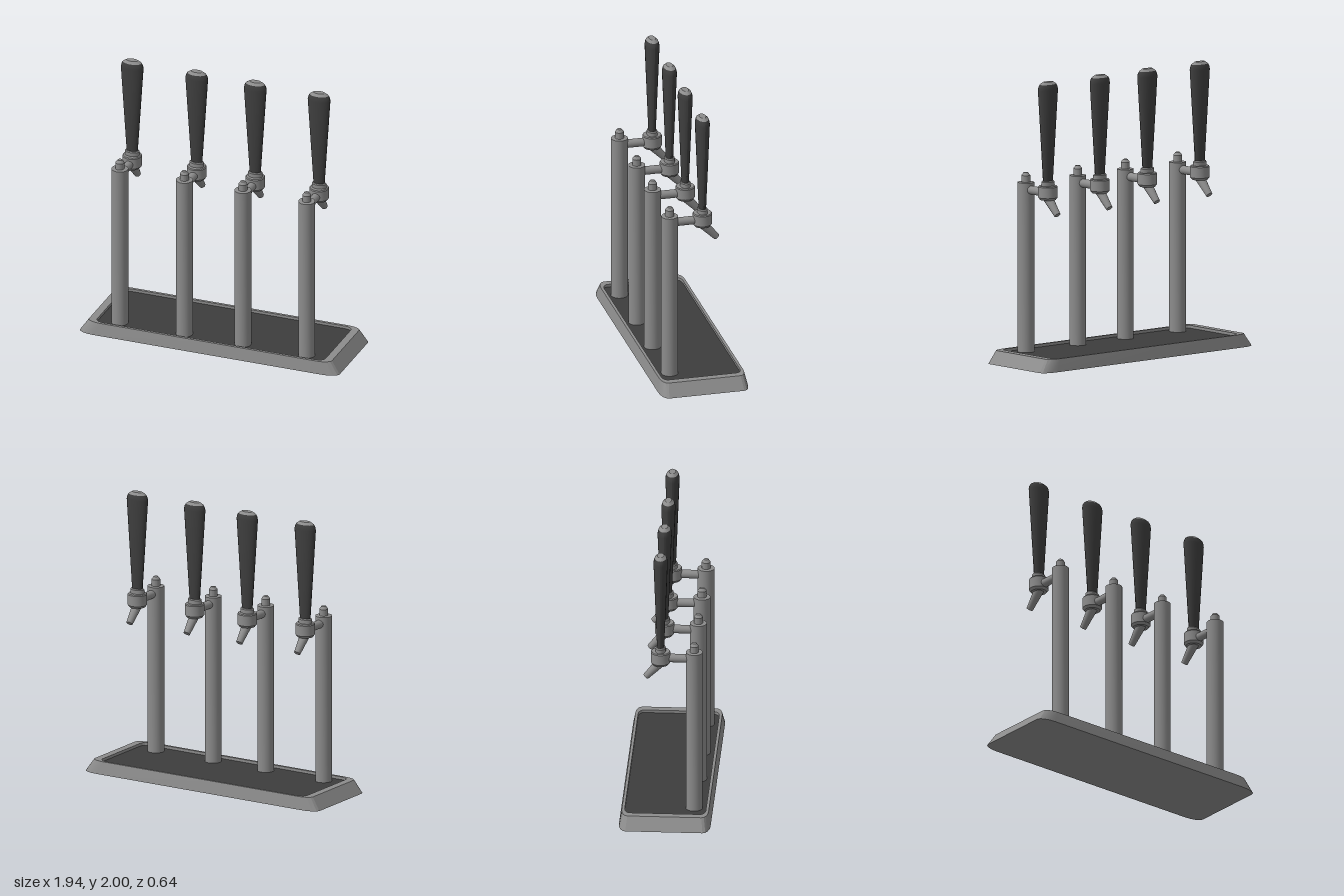
import * as THREE from 'three';
import { toCreasedNormals } from 'three/addons/utils/BufferGeometryUtils.js';

const grey = new THREE.MeshStandardMaterial({ color: 0x8c8c8c });
const dark = new THREE.MeshStandardMaterial({ color: 0x3d3d3d });

function mesh(name, geometry, material = grey) {
  const m = new THREE.Mesh(geometry, material);
  m.name = name;
  return m;
}

// Skin a stack of equal rings (counter-clockwise from above), optionally closing the ends
function loft(rings, capBottom, capTop, crease = 0.5) {
  const pos = [];
  const tri = (...pts) => pts.forEach((p) => pos.push(p.x, p.y, p.z));
  const n = rings[0].length;
  for (let i = 0; i + 1 < rings.length; i++) {
    for (let j = 0; j < n; j++) {
      const k = (j + 1) % n;
      const [a, b, c, d] = [rings[i][j], rings[i][k], rings[i + 1][k], rings[i + 1][j]];
      tri(a, b, c);
      tri(a, c, d);
    }
  }
  const cap = (ring, up) => {
    const centre = new THREE.Vector3(0, ring[0].y, 0);
    ring.forEach((p, j) => {
      const q = ring[(j + 1) % n];
      if (up) tri(centre, p, q);
      else tri(centre, q, p);
    });
  };
  if (capBottom) cap(rings[0], false);
  if (capTop) cap(rings[rings.length - 1], true);
  const g = new THREE.BufferGeometry();
  g.setAttribute('position', new THREE.Float32BufferAttribute(pos, 3));
  return toCreasedNormals(g, crease);
}

// Rectangle with elliptical corners
function rectRing(hx, hz, y, rx, rz, seg = 4) {
  const pts = [];
  [[1, 1], [-1, 1], [-1, -1], [1, -1]].forEach(([sx, sz], q) => {
    for (let i = 0; i <= seg; i++) {
      const a = (q + i / seg) * Math.PI / 2;
      pts.push(new THREE.Vector3(
        sx * (hx - rx) + rx * Math.cos(a), y, -(sz * (hz - rz) + rz * Math.sin(a))));
    }
  });
  return pts;
}

// Oval cross-section; the few sides leave a ridge at its narrow ends
function ovalRing([hx, hz, y], n = 20) {
  return Array.from({ length: n }, (_, i) => {
    const a = (i / n) * Math.PI * 2;
    return new THREE.Vector3(hx * Math.cos(a), y, -hz * Math.sin(a));
  });
}

function lathe(points, seg = 28) {
  const g = new THREE.LatheGeometry(points.map(([r, y]) => new THREE.Vector2(r, y)), seg);
  return toCreasedNormals(g, 0.4);
}

// Tapered round bar between two points
function bar(name, from, to, r0, r1) {
  const a = new THREE.Vector3(...from);
  const b = new THREE.Vector3(...to);
  const m = mesh(name, new THREE.CylinderGeometry(r1, r0, a.distanceTo(b), 20));
  m.position.copy(a).lerp(b, 0.5);
  m.quaternion.setFromUnitVectors(new THREE.Vector3(0, 1, 0), b.clone().sub(a).normalize());
  return m;
}

function createBase() {
  const base = new THREE.Group();
  base.name = 'base';
  const matRing = rectRing(0.855, 0.283, 0.07, 0.06, 0.04);
  // Underside, sloped sides, flat rim and the short wall down to the mat
  base.add(mesh('tray', loft([
    rectRing(0.972, 0.32, 0, 0.12, 0.05),
    rectRing(0.91, 0.303, 0.09, 0.1, 0.045),
    rectRing(0.855, 0.283, 0.09, 0.06, 0.04),
    matRing,
  ], true, false, 0.3)));
  base.add(mesh('trayMat', loft([matRing], false, true), dark));
  return base;
}

function createTap() {
  const tap = new THREE.Group();
  tap.name = 'tap';
  const colZ = 0.197;
  const bodyZ = -0.038;

  // Column with its end nut
  const column = mesh('column', lathe([
    [0, 0.06], [0.059, 0.06], [0.059, 1.265], [0.031, 1.267],
    [0.031, 1.313], [0.016, 1.333], [0, 1.335],
  ]));
  column.position.z = colZ;
  tap.add(column);

  // Faucet
  tap.add(bar('shank', [0, 1.215, colZ], [0, 1.215, bodyZ], 0.03, 0.03));
  const body = mesh('faucetBody', lathe([
    [0, 1.168], [0.055, 1.168], [0.068, 1.185], [0.068, 1.26], [0.063, 1.267], [0, 1.267],
  ]));
  body.position.z = bodyZ;
  tap.add(body);
  tap.add(bar('spout', [0, 1.19, -0.03], [0, 1.07, -0.14], 0.036, 0.023));

  // Handle: collar, flared oval grip and end cap
  const handle = new THREE.Group();
  handle.name = 'handle';
  handle.position.z = bodyZ;
  const collar = [[0.053, 0.036, 1.26], [0.053, 0.036, 1.295], [0.046, 0.031, 1.302]];
  const grip = [[0.041, 0.025, 1.3], [0.083, 0.05, 1.945], [0.079, 0.047, 1.965], [0.069, 0.041, 1.983]];
  const end = [[0.069, 0.041, 1.983], [0.043, 0.023, 2]];
  handle.add(mesh('handleCollar', loft(collar.map((r) => ovalRing(r)), false, true)));
  handle.add(mesh('handleGrip', loft(grip.map((r) => ovalRing(r)), true, false), dark));
  handle.add(mesh('handleCap', loft(end.map((r) => ovalRing(r)), false, true)));
  tap.add(handle);
  return tap;
}

export function createModel() {
  const model = new THREE.Group();
  model.name = 'tapTower';
  model.add(createBase());
  for (const x of [-0.702, -0.219, 0.219, 0.697]) {
    const tap = createTap();
    tap.position.x = x;
    model.add(tap);
  }
  return model;
}
